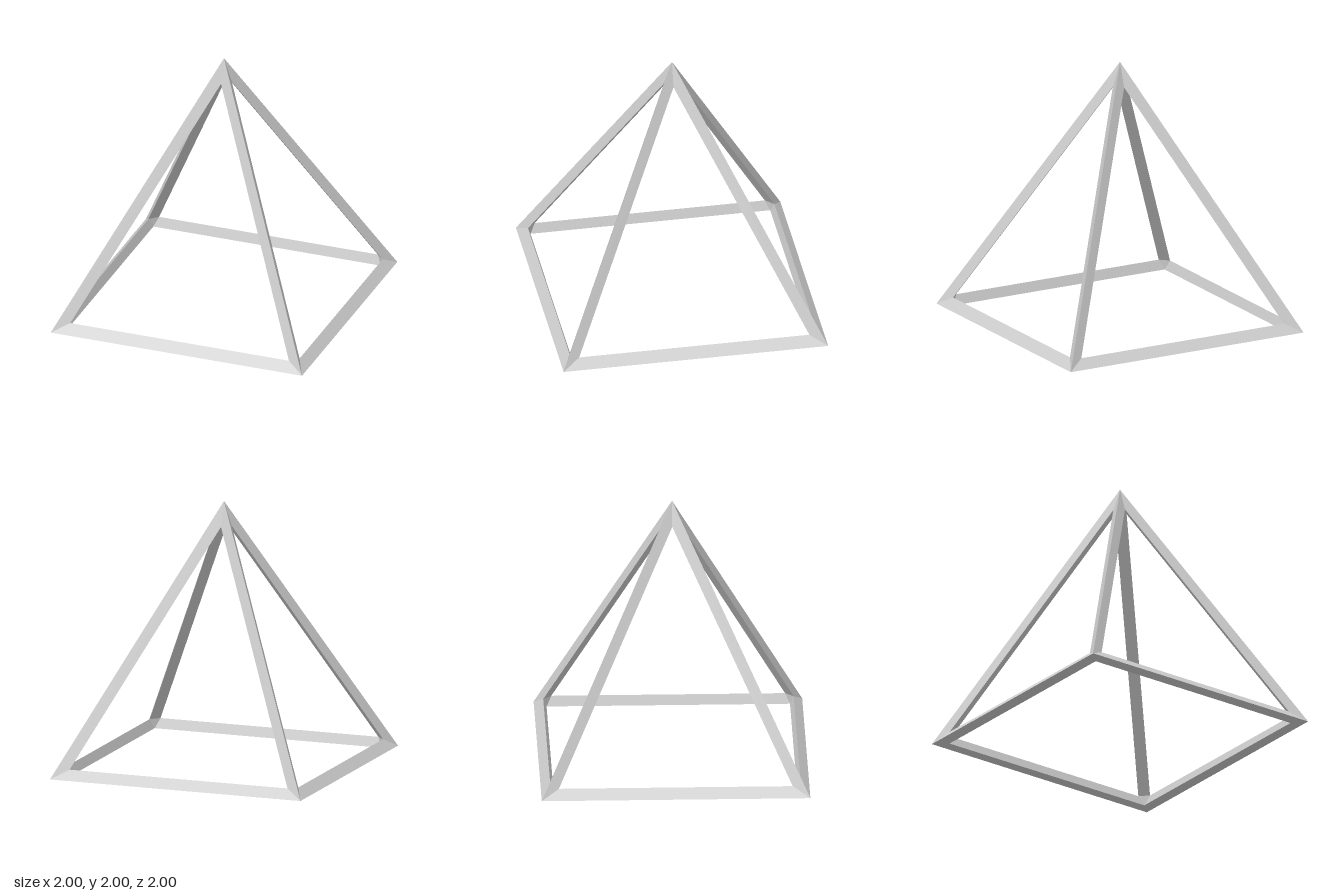
import * as THREE from 'three';

const material = new THREE.MeshStandardMaterial({ color: 0xcccccc, flatShading: true });

// Flat-shaded geometry from convex polygons, corners counter-clockwise from outside
function fromPolygons(polygons) {
  const pos = [];
  for (const p of polygons)
    for (let i = 1; i < p.length - 1; i++) pos.push(...p[0], ...p[i], ...p[i + 1]);
  const g = new THREE.BufferGeometry();
  g.setAttribute('position', new THREE.Float32BufferAttribute(pos, 3));
  g.computeVertexNormals();
  return g;
}

const flipX = ([x, y, z]) => [-x, y, z];
const swapXZ = ([x, y, z]) => [z, y, x];

// Key points of one corner and one triangular window
const apex = [0, 2, 0];
const innerApex = [0, 1.877, 0];
const corner = [1, 0.004, 1];
const innerCorner = [0.906, 0, 0.906];
const windowFoot = [0.87, 0.075, 0.932];
const windowTop = [0, 1.815, 0.062];
const sideFoot = swapXZ(windowFoot);
const sideTop = swapXZ(windowTop);

// Sloping leg: triangular bar with its ridge outward, mitred at both ends
const legGeometry = fromPolygons([
  [windowFoot, corner, apex, windowTop],
  [sideTop, apex, corner, sideFoot],
  [sideFoot, windowFoot, windowTop, innerApex, sideTop],
  [windowFoot, sideFoot, innerCorner],
]);

// Base bar: triangular bar along one side of the square
const baseGeometry = fromPolygons([
  [flipX(corner), corner, windowFoot, flipX(windowFoot)],
  [flipX(windowFoot), windowFoot, innerCorner, flipX(innerCorner)],
  [corner, flipX(corner), flipX(innerCorner), innerCorner],
]);

export function createModel() {
  const model = new THREE.Group();
  model.name = 'pyramidFrame';
  const sides = ['front', 'left', 'back', 'right'];
  const corners = ['frontLeft', 'backLeft', 'backRight', 'frontRight'];
  for (let i = 0; i < 4; i++) {
    const leg = new THREE.Mesh(legGeometry, material);
    leg.name = corners[i] + 'Leg';
    const bar = new THREE.Mesh(baseGeometry, material);
    bar.name = sides[i] + 'BaseBar';
    leg.rotation.y = bar.rotation.y = (i * Math.PI) / 2;
    model.add(leg, bar);
  }
  return model;
}
